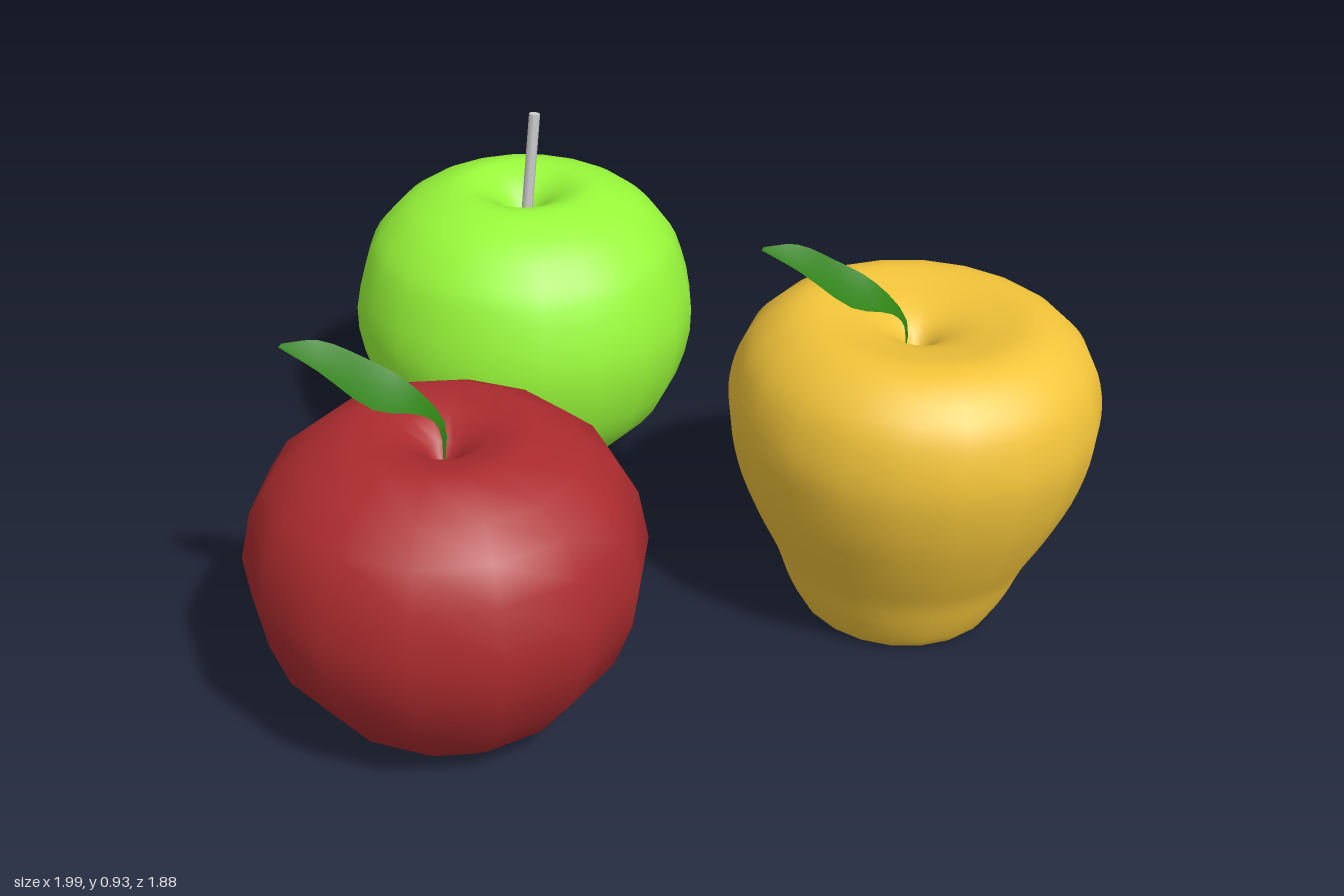
import * as THREE from 'three';

const mat = (color, side = THREE.FrontSide) => new THREE.MeshStandardMaterial({ color, side });

// Fruit body: [radius, height] profile from the bottom dimple to the top dimple, revolved
function fruit(name, color, x, z, profile, sides, samples) {
  let pts = profile.map(([r, y]) => new THREE.Vector2(r, y));
  if (samples) pts = new THREE.SplineCurve(pts).getPoints(samples);
  pts.forEach(p => p.set(Math.max(p.x, 0), Math.max(p.y, 0)));
  const mesh = new THREE.Mesh(new THREE.LatheGeometry(pts, sides), mat(color));
  mesh.name = name;
  mesh.rotation.y = Math.PI / 2;
  mesh.position.set(x, 0, z);
  return mesh;
}

// Leaf: a curved strip between two edge curves, rising from a thin stalk to a drooping tip
function leaf(name, x, y, z) {
  const edge = pts => new THREE.CatmullRomCurve3(pts.map(p => new THREE.Vector3(...p)));
  const outer = edge([[0.152, 0.6, 0.517], [0.15, 0.71, 0.525], [0.14, 0.75, 0.56],
    [0.1, 0.785, 0.655], [-0.01, 0.85, 0.705], [-0.095, 0.884, 0.737]]);
  const inner = edge([[0.142, 0.6, 0.507], [0.136, 0.71, 0.498], [0.075, 0.8, 0.545],
    [0, 0.845, 0.595], [-0.06, 0.885, 0.66], [-0.1, 0.886, 0.725]]);
  const n = 15, pos = [], index = [];
  for (let i = 0; i <= n; i++) {
    const a = outer.getPoint(i / n), b = inner.getPoint(i / n);
    const mid = a.clone().lerp(b, 0.5);
    mid.y -= 0.06 * a.distanceTo(b);
    pos.push(...a.toArray(), ...mid.toArray(), ...b.toArray());
    if (i === n) break;
    for (let j = 0; j < 2; j++) {
      const k = i * 3 + j;
      index.push(k, k + 1, k + 3, k + 1, k + 4, k + 3);
    }
  }
  const g = new THREE.BufferGeometry();
  g.setAttribute('position', new THREE.Float32BufferAttribute(pos, 3));
  g.setIndex(index);
  g.computeVertexNormals();
  // Make the sunny side the front
  if (g.attributes.normal.getY(25) < 0) {
    g.setIndex(index.reverse());
    g.computeVertexNormals();
  }
  const mesh = new THREE.Mesh(g, mat(0x2f8014, THREE.DoubleSide));
  mesh.name = name;
  mesh.position.set(x, y, z);
  return mesh;
}

export function createModel() {
  const model = new THREE.Group();
  model.name = 'threeApples';

  // Round green apple
  model.add(fruit('greenApple', 0x99f93a, -0.565, -0.38, [
    [0, 0.04], [0.04, 0.015], [0.09, 0], [0.17, 0.018], [0.28, 0.085], [0.385, 0.21], [0.435, 0.4],
    [0.4, 0.57], [0.35, 0.65], [0.28, 0.71], [0.18, 0.748], [0.11, 0.735], [0.05, 0.69], [0, 0.6]], 20, 40));

  // Leaning stem of the green apple
  const base = new THREE.Vector3(-0.565, 0.58, -0.38), tip = new THREE.Vector3(-0.565, 0.928, -0.42);
  const dir = tip.clone().sub(base);
  const stem = new THREE.Mesh(new THREE.CylinderGeometry(0.014, 0.014, dir.length(), 8), mat(0xcccccc));
  stem.name = 'greenAppleStem';
  stem.position.copy(base).lerp(tip, 0.5);
  stem.quaternion.setFromUnitVectors(new THREE.Vector3(0, 1, 0), dir.normalize());
  model.add(stem);

  // Coarser red apple
  model.add(fruit('redApple', 0xac2b2e, 0.15, 0.515, [
    [0, 0.07], [0.07, 0.055], [0.13, 0.015], [0.195, 0], [0.29, 0.08], [0.38, 0.2], [0.42, 0.31], [0.434, 0.41],
    [0.41, 0.525], [0.365, 0.6], [0.3, 0.655], [0.2, 0.708], [0.1, 0.69], [0.04, 0.65], [0, 0.6]], 14));
  model.add(leaf('redAppleLeaf', 0, 0, 0));

  // Tall yellow apple with broad shoulders
  model.add(fruit('yellowApple', 0xf2c43a, 0.575, -0.525, [
    [0, 0.06], [0.08, 0.05], [0.15, 0.02], [0.2, 0], [0.23, 0.012], [0.265, 0.08], [0.295, 0.16], [0.34, 0.25], [0.39, 0.37],
    [0.417, 0.48], [0.419, 0.56], [0.4, 0.64], [0.365, 0.695], [0.31, 0.738], [0.25, 0.755], [0.18, 0.745],
    [0.1, 0.725], [0.04, 0.69], [0, 0.63]], 20, 54));
  model.add(leaf('yellowAppleLeaf', 0.417, 0.025, -1.005));

  return model;
}
